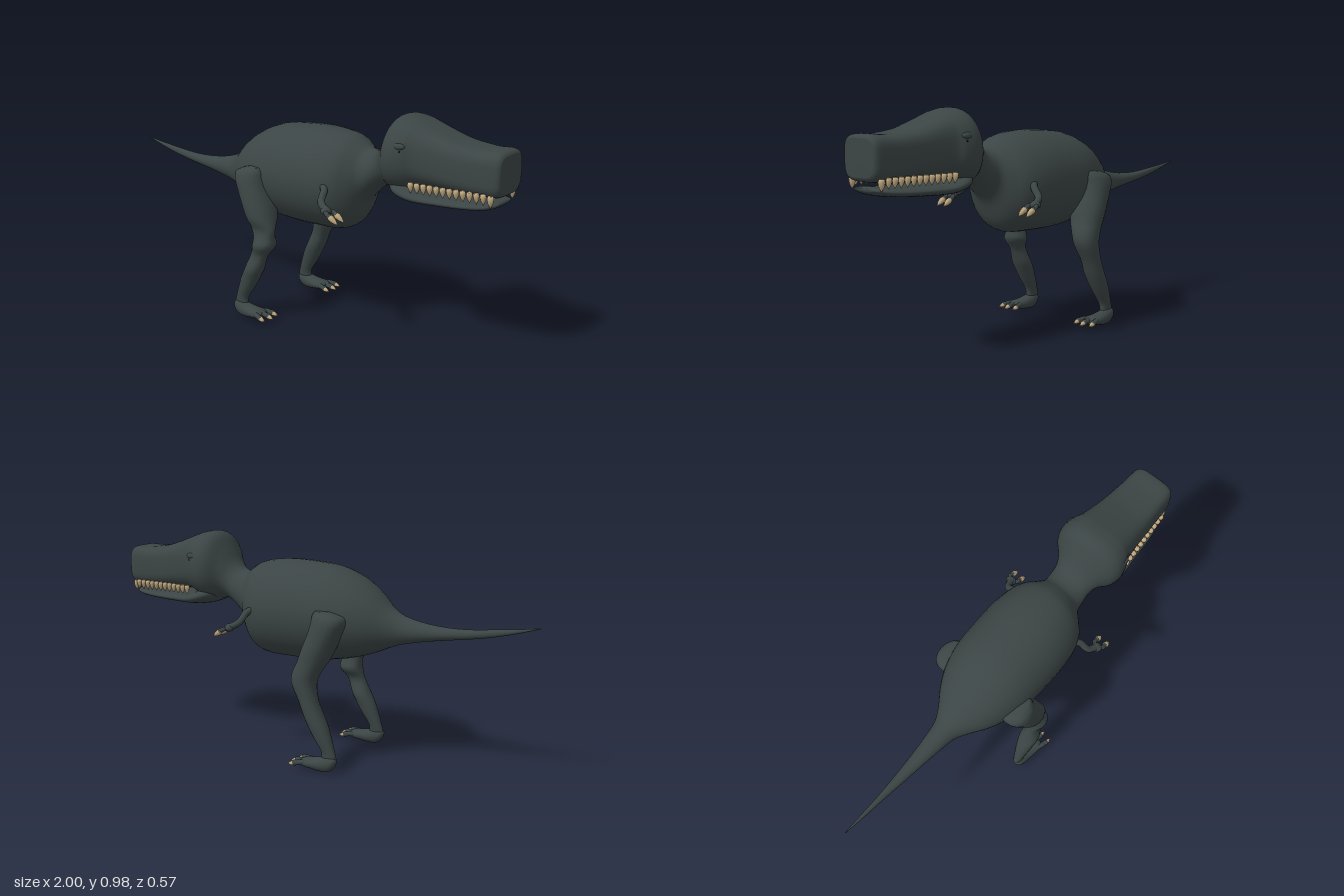
import * as THREE from 'three';

const skin = new THREE.MeshStandardMaterial({ color: 0x3c4545 });
skin.name = 'dark grey green skin';
const ivory = new THREE.MeshStandardMaterial({ color: 0xc0a880 });
ivory.name = 'ivory';
const black = new THREE.MeshStandardMaterial({ color: 0x161818 });
black.name = 'pupil black';

const V = (x, y, z) => new THREE.Vector3(x, y, z);
const X = V(1, 0, 0), Y = V(0, 1, 0), Z = V(0, 0, 1);

// Smooth value between q and r, with neighbours p and s
const blend = (p, q, r, s, t) =>
  q + 0.5 * t * (r - p + t * (2 * p - 5 * q + 4 * r - s + t * (3 * (q - r) + s - p)));

// Closed smooth skin through cross-sections [x, y, z, a, b, n]:
// superellipses with half-axes a along U and b along W, exponent n.
function loft(name, rows, U, W, seg, sub) {
  const fine = [];
  for (let i = 0; i < rows.length - 1; i++) {
    const q = rows[i], r = rows[i + 1];
    const p = rows[Math.max(i - 1, 0)], s = rows[Math.min(i + 2, rows.length - 1)];
    for (let k = 0; k < sub; k++) {
      fine.push(q.map((v, c) => blend(p[c], v, r[c], s[c], k / sub)));
    }
  }
  fine.push(rows[rows.length - 1]);
  const pos = [], idx = [];
  for (const [x, y, z, a, b, n] of fine) {
    for (let j = 0; j < seg; j++) {
      const th = (j / seg) * Math.PI * 2, c = Math.cos(th), s = Math.sin(th);
      const p = V(x, y, z)
        .addScaledVector(U, a * Math.sign(c) * Math.pow(Math.abs(c), 2 / n))
        .addScaledVector(W, b * Math.sign(s) * Math.pow(Math.abs(s), 2 / n));
      pos.push(p.x, p.y, p.z);
    }
  }
  for (let i = 0; i < fine.length - 1; i++) {
    for (let j = 0; j < seg; j++) {
      const k = (j + 1) % seg, a = i * seg, b = a + seg;
      idx.push(a + j, a + k, b + j, a + k, b + k, b + j);
    }
  }
  // end caps
  const last = (fine.length - 1) * seg, c0 = pos.length / 3;
  pos.push(...fine[0].slice(0, 3), ...fine[fine.length - 1].slice(0, 3));
  for (let j = 0; j < seg; j++) {
    const k = (j + 1) % seg;
    idx.push(c0, k, j, c0 + 1, last + j, last + k);
  }
  const g = new THREE.BufferGeometry();
  g.setAttribute('position', new THREE.Float32BufferAttribute(pos, 3));
  g.setIndex(idx);
  g.computeVertexNormals();
  const m = new THREE.Mesh(g, skin);
  m.name = name;
  return m;
}

// Sections along x given as [x, top, bottom, half width, exponent]
const alongX = (name, rows, z = 0, seg = 36) =>
  loft(name, rows.map(([x, t, b, w, n = 2]) => [x, (t + b) / 2, z, (t - b) / 2, w, n]), Y, Z, seg, 4);

// Sections down a leg given as [y, back x, front x, inner z, outer z]
const downLeg = (name, rows, s) =>
  loft(name, rows.map(([y, x0, x1, z0, z1]) =>
    [(x0 + x1) / 2, y, s * (z0 + z1) / 2, (x1 - x0) / 2, (z1 - z0) / 2, 2.2]), X, Z, 20, 3);

function ball(name, p, r, mat, sx = 1, sy = 1, sz = 1) {
  const m = new THREE.Mesh(new THREE.SphereGeometry(r, 14, 10), mat);
  m.position.copy(p);
  m.scale.set(sx, sy, sz);
  m.name = name;
  return m;
}

// Rounded limb along a path
function limb(name, pts, r) {
  const g = new THREE.Group();
  g.name = name;
  const tube = new THREE.Mesh(new THREE.TubeGeometry(new THREE.CatmullRomCurve3(pts), 12, r, 10), skin);
  tube.name = name + 'Tube';
  g.add(tube);
  for (const p of [pts[0], pts[pts.length - 1]]) g.add(ball(name + 'End', p, r * 1.15, skin));
  return g;
}

// Pointed, slightly bulging spike from one point to another
function spike(name, from, to, r) {
  const d = to.clone().sub(from), h = d.length();
  const profile = [[0, 0], [0.8, 0], [1, 0.25], [0.75, 0.6], [0, 1]]
    .map(([a, b]) => new THREE.Vector2(a * r, b * h));
  const m = new THREE.Mesh(new THREE.LatheGeometry(profile, 8), ivory);
  m.position.copy(from);
  m.quaternion.setFromUnitVectors(Y, d.normalize());
  m.name = name;
  return m;
}

export function createModel() {
  const model = new THREE.Group();
  model.name = 'dinosaur';

  // tail, trunk, neck and upper head
  model.add(alongX('body', [
    [-1, .677, .673, .002], [-.9, .662, .643, .008], [-.8, .651, .618, .014], [-.7, .641, .6, .022],
    [-.6, .64, .585, .031], [-.5, .65, .568, .042], [-.41, .672, .548, .056], [-.35, .705, .527, .088],
    [-.28, .77, .497, .137], [-.2, .824, .471, .175], [-.1, .862, .45, .199], [.02, .876, .44, .206],
    [.13, .88, .44, .206], [.22, .873, .443, .195], [.28, .86, .46, .172], [.32, .838, .5, .135],
    [.355, .816, .585, .1], [.4, .817, .635, .094], [.44, .85, .667, .095], [.475, .912, .678, .115],
    [.51, .968, .672, .15, 2.1], [.55, .985, .672, .164, 2.2], [.6, .977, .69, .155, 2.4],
    [.64, .962, .71, .135, 2.8], [.72, .932, .716, .122, 3.2], [.8, .908, .716, .114, 3.6],
    [.9, .895, .716, .106, 4], [.965, .897, .716, .102, 4], [.99, .892, .722, .096, 4], [1, .88, .735, .084, 4],
  ]));

  // lower jaw
  model.add(alongX('lowerJaw', [
    [.49, .72, .69, .04], [.52, .735, .665, .1], [.57, .73, .647, .135], [.64, .7, .643, .134, 2.2],
    [.74, .694, .646, .124, 2.2], [.84, .694, .652, .117, 2.2], [.92, .698, .66, .105, 2.2],
    [.96, .7, .67, .085], [.978, .694, .682, .05],
  ]));

  for (const s of [1, -1]) {
    const side = s > 0 ? 'near' : 'far';

    // teeth along the upper jaw
    for (let i = 0; i < 12; i++) {
      const t = i / 11, x = .635 + .305 * t, z = s * (.127 - .026 * t);
      model.add(spike('tooth', V(x, .737, z), V(x + .002, .694, z * .97), .0125));
    }
    model.add(spike('frontTooth', V(.965, .732, s * .088), V(.967, .684, s * .088), .014));

    // eye and brow
    model.add(ball('brow', V(.588, .878, s * .142), .022, skin, 1.3, .7, .8));
    model.add(ball('eye', V(.593, .858, s * .145), .012, ivory, 1.1, .9, .8));
    model.add(ball('pupil', V(.597, .859, s * .153), .005, black, 1, 1, .6));

    // arm with two clawed fingers
    model.add(limb(side + 'Arm', [
      V(.22, .675, s * .16), V(.26, .655, s * .19), V(.275, .615, s * .23), V(.315, .592, s * .248),
    ], .0155));
    model.add(ball(side + 'Hand', V(.315, .59, s * .248), .02, skin, 1.1, .8, 1.2));
    for (const z of [.225, .268]) {
      model.add(limb('finger', [V(.315, .59, s * .247), V(.332, .585, s * z), V(.35, .575, s * z)], .01));
      model.add(spike('handClaw', V(.345, .578, s * z), V(.39, .547, s * (z - .002)), .0135));
    }

    // leg; the near one is knobbly, the far one smoother
    const thigh = [
      [.695, -.15, -.09, .17, .215], [.675, -.21, -.076, .13, .24], [.645, -.222, -.07, .11, .252],
      [.6, -.205, -.057, .1, .258], [.53, -.172, -.03, .105, .264],
    ];
    const shin = s > 0 ? [
      [.475, -.145, -.012, .13, .262], [.43, -.118, .002, .175, .246], [.395, -.102, .0, .172, .253],
      [.358, -.102, .002, .16, .268], [.31, -.115, -.03, .193, .251], [.245, -.142, -.055, .179, .268],
      [.2, -.165, -.077, .184, .264],
    ] : [
      [.475, -.145, -.012, .12, .264], [.43, -.118, .006, .146, .268], [.38, -.103, .006, .162, .27],
      [.31, -.115, -.03, .178, .267], [.245, -.142, -.055, .176, .267], [.2, -.165, -.077, .182, .264],
    ];
    const ankle = [
      [.15, -.184, -.105, .192, .258], [.1, -.2, -.138, .202, .25],
      [.065, -.21, -.142, .208, .247], [.035, -.2, -.14, .21, .245],
    ];
    model.add(downLeg(side + 'Leg', [...thigh, ...shin, ...ankle], s));

    // foot
    model.add(alongX(side + 'Foot', [
      [-.212, .062, .05, .008], [-.2, .074, .025, .023], [-.175, .077, .006, .03], [-.14, .068, .004, .034],
      [-.1, .06, .01, .038], [-.065, .056, .016, .04], [-.045, .046, .024, .026],
    ], s * .231, 20));

    // toes and claws
    for (const k of [-1, 0, 1]) {
      const z = s * .231 + k * .041, x = k ? -.032 : -.022;
      model.add(limb('toe', [
        V(-.09, .036, s * .231 + k * .018), V(-.06, .04, s * .231 + k * .034), V(x, .036, z),
      ], .0115));
      model.add(spike('toeClaw', V(x - .006, .037, z), V(x + .034, .027, z + k * .003), .0115));
    }
  }
  return model;
}
